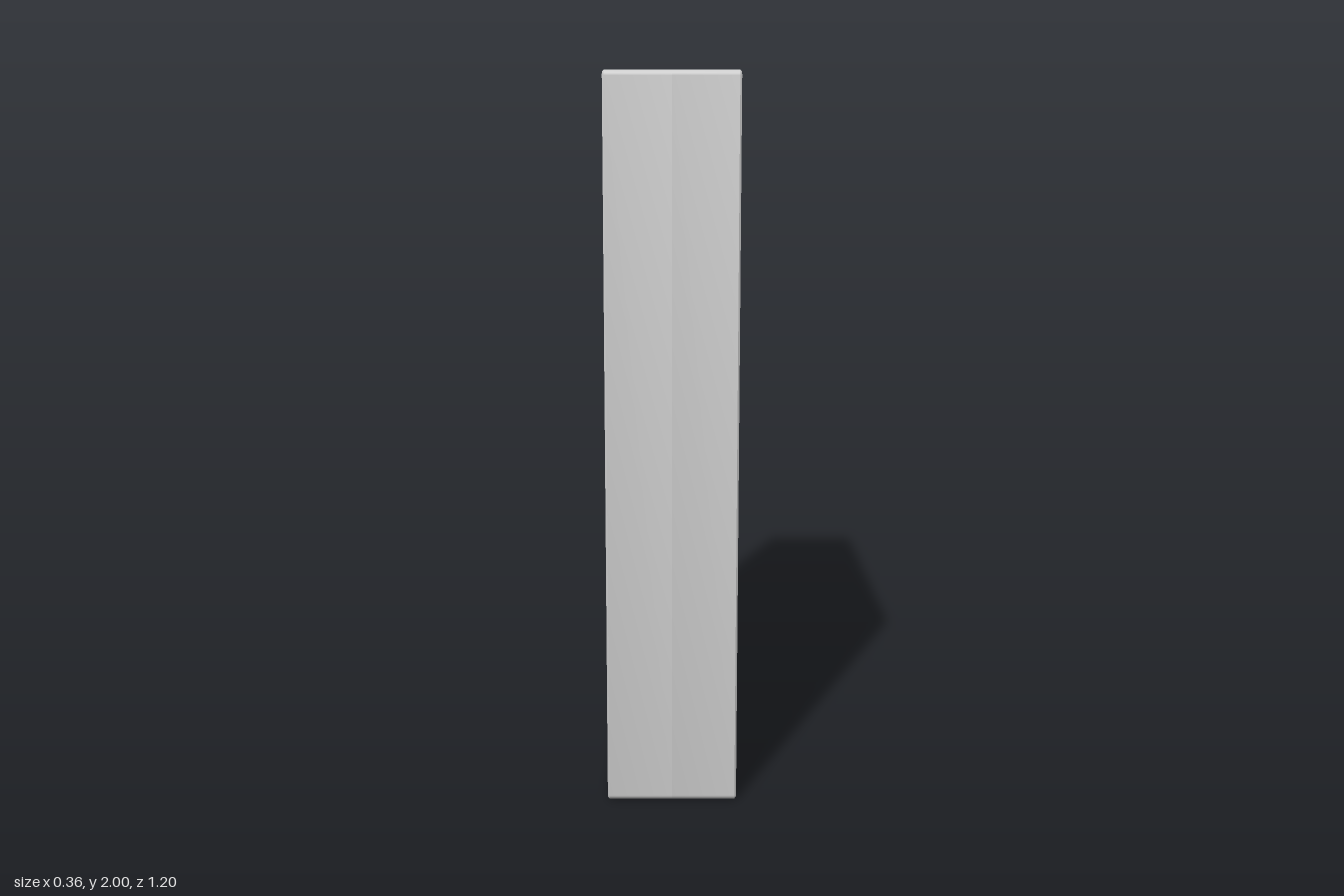
import * as THREE from 'three';
import { toCreasedNormals } from 'three/addons/utils/BufferGeometryUtils.js';

const HALF_X = 0.18, HALF_Z = 0.6, HEIGHT = 2;
const PANEL_HALF_Z = 0.487;
const PANELS = [['lower', 0.2, 0.923], ['upper', 1.083, 1.806]];
const material = new THREE.MeshStandardMaterial({ color: 0xcccccc });

// Counter-clockwise rounded rectangle in (u, v); u runs along -z, v along y
function roundedRect(halfU, v0, v1, r, segments = 4) {
  const points = [];
  const corners = [[halfU - r, v0 + r], [halfU - r, v1 - r], [-halfU + r, v1 - r], [-halfU + r, v0 + r]];
  corners.forEach(([u, v], c) => {
    for (let i = 0; i <= segments; i++) {
      const a = (c - 1 + i / segments) * Math.PI / 2;
      points.push(new THREE.Vector2(u + r * Math.cos(a), v + r * Math.sin(a)));
    }
  });
  return points;
}

// Skin through rings of points, listed from the outer/lowest to the inner/highest
function loft(rings) {
  const positions = [], index = [], n = rings[0].points.length;
  rings.forEach(({ points, x }) => points.forEach((p) => positions.push(x, p.y, -p.x)));
  for (let k = 0; k < rings.length - 1; k++) {
    for (let i = 0; i < n; i++) {
      const j = (i + 1) % n, a = k * n, b = a + n;
      index.push(a + i, a + j, b + j, a + i, b + j, b + i);
    }
  }
  const geometry = new THREE.BufferGeometry();
  geometry.setAttribute('position', new THREE.Float32BufferAttribute(positions, 3));
  geometry.setIndex(index);
  return toCreasedNormals(geometry, 0.5);
}

// Flat face at a given x, optionally with openings
function face(points, x, holes = []) {
  const shape = new THREE.Shape(points);
  shape.holes = holes.map((h) => new THREE.Path(h));
  return new THREE.ShapeGeometry(shape).rotateY(Math.PI / 2).translate(x, 0, 0);
}

function add(group, name, geometry) {
  const mesh = new THREE.Mesh(geometry, material);
  mesh.name = name;
  group.add(mesh);
}

function createSide(name) {
  const side = new THREE.Group();
  side.name = name;

  // Half of the slab's rim, with a small bevel towards the face
  const b = 0.005;
  const rim = roundedRect(HALF_Z, 0, HEIGHT, 0.015);
  const edge = roundedRect(HALF_Z - b, b, HEIGHT - b, 0.012);
  add(side, 'rim', loft([{ points: rim, x: 0 }, { points: rim, x: HALF_X - b }, { points: edge, x: HALF_X }]));

  // Face with two panel openings
  const openings = PANELS.map(([, v0, v1]) => roundedRect(PANEL_HALF_Z, v0, v1, 0.02));
  add(side, 'face', face(edge, HALF_X, openings));

  // Groove and raised field of each panel: [inset z, inset y, depth, corner radius]
  const profile = [[0, 0, 0, 0.02], [0.01, 0.016, 0.014, 0.02], [0.031, 0.047, 0.014, 0.018], [0.041, 0.06, 0.002, 0.015]];
  for (const [label, v0, v1] of PANELS) {
    const rings = profile.map(([dz, dy, depth, r]) => ({
      points: roundedRect(PANEL_HALF_Z - dz, v0 + dy, v1 - dy, r), x: HALF_X - depth,
    }));
    add(side, label + 'PanelMoulding', loft(rings));
    const last = rings[rings.length - 1];
    add(side, label + 'PanelField', face(last.points, last.x));
  }
  return side;
}

export function createModel() {
  const model = new THREE.Group();
  model.name = 'panelledSlab';
  const left = createSide('leftSide');
  const right = createSide('rightSide');
  right.rotation.y = Math.PI;
  model.add(left, right);
  return model;
}
